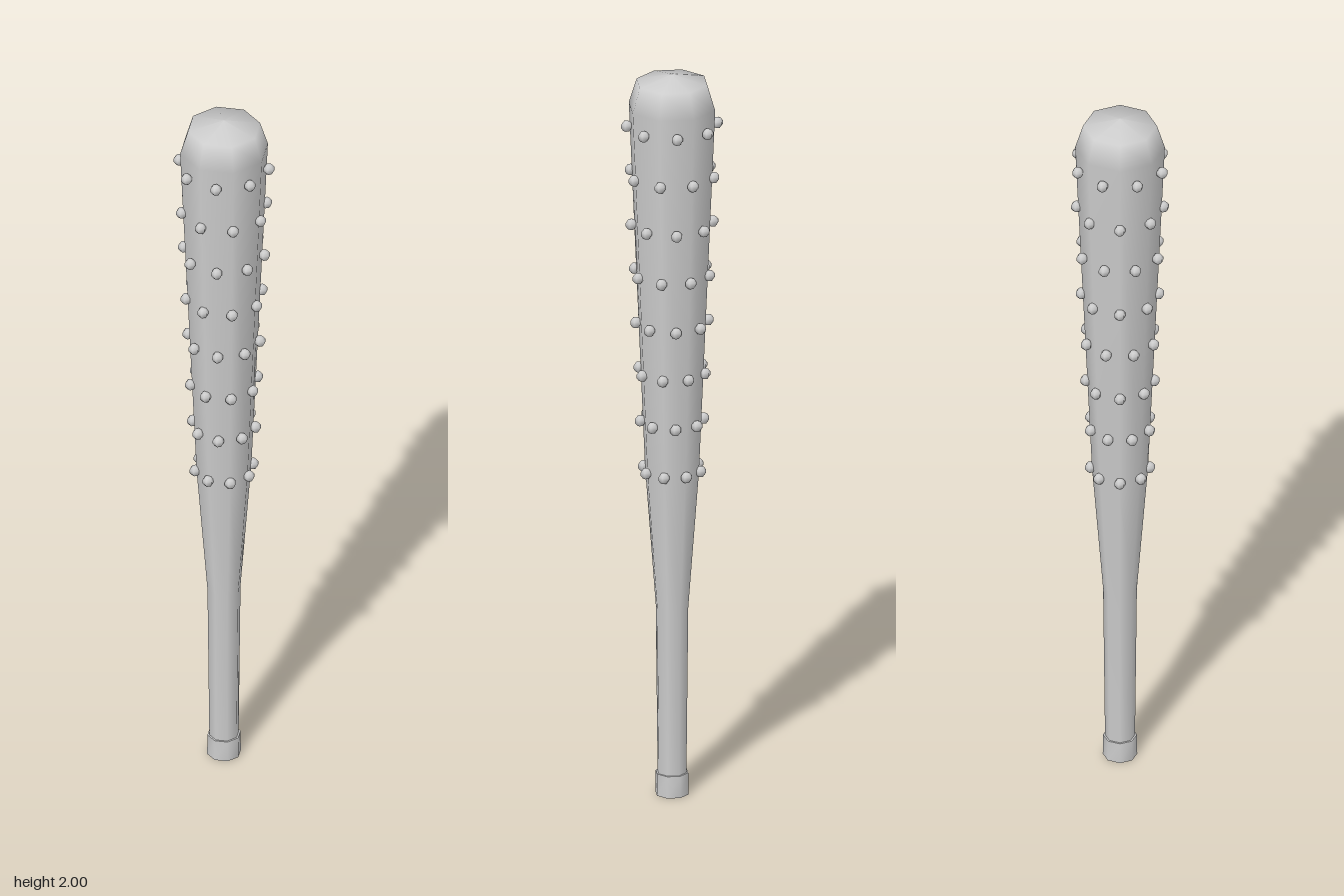
import * as THREE from 'three';
import { toCreasedNormals } from 'three/addons/utils/BufferGeometryUtils.js';

const SIDES = 8;

export function createModel() {
  const group = new THREE.Group();
  group.name = 'studdedBat';
  const material = new THREE.MeshStandardMaterial({ color: 0xcccccc });

  const add = (name, geometry, parent = group) => {
    const mesh = new THREE.Mesh(geometry, material);
    mesh.name = name;
    parent.add(mesh);
    return mesh;
  };

  // Handle, tapered barrel and domed head in one eight-sided profile
  const profile = [
    [0.039, 0.05], [0.044, 0.52], [0.073, 0.9],
    [0.117, 1.91], [0.096, 1.978], [0, 2],
  ].map(([r, y]) => new THREE.Vector2(r, y));
  add('bat', new THREE.LatheGeometry(profile, SIDES));

  // Knob at the end of the handle
  const knob = new THREE.CylinderGeometry(0.044, 0.045, 0.06, SIDES);
  add('knob', toCreasedNormals(knob, Math.PI / 3)).position.y = 0.03;

  // Rings of round studs, every other ring turned by half a step
  const studs = new THREE.Group();
  studs.name = 'studs';
  group.add(studs);
  const studGeometry = new THREE.SphereGeometry(0.0155, 6, 5);
  const rows = 8;
  for (let row = 0; row < rows; row++) {
    const t = row / (rows - 1);
    const y = THREE.MathUtils.lerp(0.902, 1.86, t);
    const radius = THREE.MathUtils.lerp(0.077, 0.119, t);
    for (let i = 0; i < SIDES; i++) {
      const angle = ((i + (row % 2) / 2) / SIDES) * Math.PI * 2;
      add('stud', studGeometry, studs)
        .position.set(Math.sin(angle) * radius, y, Math.cos(angle) * radius);
    }
  }

  return group;
}
